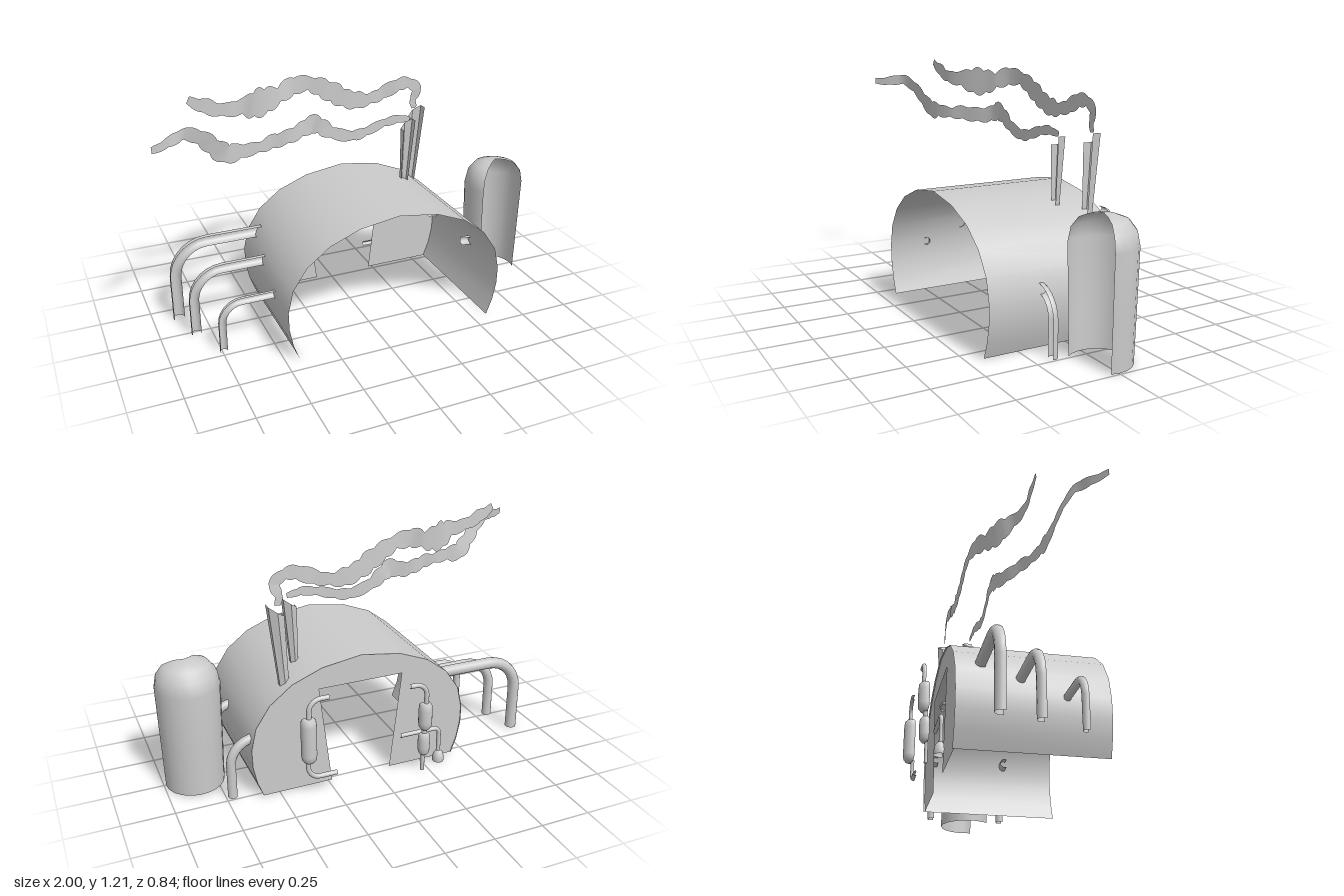
import * as THREE from 'three';

const V = (x, y, z) => new THREE.Vector3(x, y, z);
const smooth = new THREE.MeshStandardMaterial({ color: 0xcccccc, side: THREE.DoubleSide });
const faceted = new THREE.MeshStandardMaterial({ color: 0xcccccc, side: THREE.DoubleSide, flatShading: true });

// Open skin stretched over equal-length rows of points
function skin(rows) {
  const n = rows[0].length, index = [];
  for (let i = 0; i < rows.length - 1; i++) {
    for (let j = 0; j < n - 1; j++) {
      const a = i * n + j, b = a + n;
      index.push(a, b, a + 1, a + 1, b, b + 1);
    }
  }
  const g = new THREE.BufferGeometry().setFromPoints(rows.flat());
  g.setIndex(index);
  g.computeVertexNormals();
  return g;
}

// Polyline in the xy plane with its corners rounded to radius bend
function rounded(pts, bend) {
  const p = pts.map(([x, y]) => V(x, y, 0));
  const out = [p[0]];
  for (let i = 1; i < p.length - 1; i++) {
    const a = p[i].clone().add(p[i - 1].clone().sub(p[i]).setLength(bend));
    const b = p[i].clone().add(p[i + 1].clone().sub(p[i]).setLength(bend));
    const c1 = a.clone().lerp(p[i], 0.55), c2 = b.clone().lerp(p[i], 0.55);
    out.push(...new THREE.CubicBezierCurve3(a, c1, c2, b).getPoints(7));
  }
  out.push(p[p.length - 1]);
  return out;
}

// Direction of a path at point i, in the xy plane
function tangent(p, i) {
  const a = p[Math.max(i - 1, 0)], b = p[Math.min(i + 1, p.length - 1)];
  return V(b.x - a.x, b.y - a.y, 0).normalize();
}

// Bent pipe whose wall is open towards +z
function pipe(pts, z, r, bend) {
  const path = rounded(pts, bend);
  return skin(path.map((p, i) => {
    const t = tangent(path, i), row = [];
    for (let k = 0; k <= 9; k++) {
      const a = THREE.MathUtils.degToRad(-28 + 236 * k / 9);
      const c = Math.cos(a) * r;
      row.push(V(p.x - t.y * c, p.y + t.x * c, z - Math.sin(a) * r));
    }
    return row;
  }));
}

// Turned shell open towards +z, between two angles in degrees
function turned(profile, from = 62, sweep = 236, segs = 12) {
  return new THREE.LatheGeometry(profile.map(([r, y]) => new THREE.Vector2(r, y)), segs,
    THREE.MathUtils.degToRad(from), THREE.MathUtils.degToRad(sweep));
}

// Tapered six-sided chimney with slanted ends, open towards +z
function chimney(bottom, top, z, r0, r1) {
  const ring = ([x, y], r, slope) => {
    const row = [];
    for (let k = 0; k <= 4; k++) {
      const a = Math.PI / 3 * (k + 1);
      const dx = Math.sin(a) * r;
      row.push(V(x + dx, y + slope * dx, z + Math.cos(a) * r));
    }
    return row;
  };
  return skin([ring(bottom, r0, -0.6), ring(top, r1, 0.7)]);
}

// Thin upright ribbon of smoke with scalloped edges; rows are x, y, z, half height
function smoke(rows) {
  const curve = new THREE.CatmullRomCurve3(rows.map(r => V(r[0], r[1], r[2])), false, 'centripetal');
  const steps = (rows.length - 1) * 8;
  const p = [];
  for (let i = 0; i <= steps; i++) p.push(curve.getPoint(i / steps));
  return skin(p.map((c, i) => {
    const f = i / 8, k = Math.min(Math.floor(f), rows.length - 2);
    const half = THREE.MathUtils.lerp(rows[k][3], rows[k + 1][3], f - k);
    const t = tangent(p, i);
    const up = half * (0.82 + 0.3 * Math.abs(Math.sin(f * Math.PI)));
    const down = half * (0.82 + 0.3 * Math.abs(Math.sin(f * Math.PI * 0.9 + 1)));
    return [V(c.x - t.y * up, c.y + t.x * up, c.z), V(c.x + t.y * down, c.y - t.x * down, c.z)];
  }));
}

export function createModel() {
  const model = new THREE.Group();
  const add = (name, geometry, material = smooth) => {
    const mesh = new THREE.Mesh(geometry, material);
    mesh.name = name;
    model.add(mesh);
    return mesh;
  };

  // Vaulted hall, open at the front
  const cx = 0.075;
  const half = [[0.505, 0], [0.535, 0.08], [0.553, 0.17], [0.555, 0.26], [0.53, 0.37],
    [0.46, 0.475], [0.35, 0.56], [0.2, 0.62]];
  const arch = [...half.map(([x, y]) => [cx + x, y]), [cx, 0.65],
    ...half.slice().reverse().map(([x, y]) => [cx - x, y])];
  add('vault', skin([0.42, -0.28].map(z => arch.map(([x, y]) => V(x, y, z)))));

  // Rear wall with a tapered doorway
  const wall = new THREE.Shape([...arch, [-0.08, 0], [-0.14, 0.51], [0.29, 0.51], [0.23, 0]]
    .map(([x, y]) => new THREE.Vector2(x, y)));
  add('rearWall', new THREE.ShapeGeometry(wall)).position.z = -0.273;

  // Domed tank
  add('tank', turned([[0.143, 0], [0.149, 0.25], [0.155, 0.52], [0.142, 0.585], [0.108, 0.63],
    [0.055, 0.65], [0, 0.655]], 73, 236, 14)).position.set(0.847, 0, -0.005);

  // Bent pipes at the sides: wall x, height, outer x, z, radius, bend
  [
    [-0.42, 0.408, -0.872, -0.158, 0.029, 0.17],
    [-0.46, 0.335, -0.825, 0.015, 0.025, 0.15],
    [-0.465, 0.255, -0.742, 0.218, 0.019, 0.1],
    [0.575, 0.295, 0.718, 0.155, 0.023, 0.125],
    [0.575, 0.295, 0.718, -0.22, 0.023, 0.125],
  ].forEach(([x0, y, x1, z, r, bend]) =>
    add('sidePipe', pipe([[x0, y], [x1, y], [x1, 0]], z, r, bend)));

  // Chimneys
  add('frontChimney', chimney([0.345, 0.59], [0.362, 0.89], -0.087, 0.021, 0.037), faceted);
  add('rearChimney', chimney([0.438, 0.537], [0.468, 0.908], -0.203, 0.025, 0.043), faceted);

  // Smoke trails
  add('frontSmoke', smoke([
    [0.37, 0.92, -0.085, 0.012], [0.3, 0.93, -0.08, 0.022], [0.22, 0.92, -0.08, 0.022],
    [0.12, 0.89, -0.075, 0.025], [0.05, 0.88, -0.073, 0.028], [-0.06, 0.91, -0.072, 0.03],
    [-0.12, 0.95, -0.07, 0.04], [-0.17, 0.975, -0.06, 0.045], [-0.23, 0.955, -0.05, 0.038],
    [-0.31, 0.945, -0.015, 0.036], [-0.4, 0.95, 0.03, 0.036], [-0.48, 0.945, 0.065, 0.026],
    [-0.57, 0.95, 0.09, 0.036], [-0.64, 0.952, 0.1, 0.048], [-0.7, 1.0, 0.12, 0.04],
    [-0.76, 1.06, 0.145, 0.034], [-0.84, 1.1, 0.18, 0.027], [-0.92, 1.09, 0.23, 0.023],
    [-1.0, 1.085, 0.285, 0.015]]));
  add('rearSmoke', smoke([
    [0.455, 0.93, -0.21, 0.014], [0.45, 0.98, -0.21, 0.02], [0.47, 1.03, -0.205, 0.025],
    [0.42, 1.07, -0.205, 0.028], [0.36, 1.07, -0.2, 0.035], [0.27, 1.035, -0.205, 0.035],
    [0.2, 1.015, -0.2, 0.028], [0.13, 1.015, -0.2, 0.045], [0.06, 1.035, -0.195, 0.045],
    [0, 1.07, -0.19, 0.05], [-0.07, 1.11, -0.185, 0.045], [-0.14, 1.14, -0.175, 0.035],
    [-0.23, 1.145, -0.155, 0.048], [-0.31, 1.12, -0.125, 0.04], [-0.38, 1.11, -0.1, 0.065],
    [-0.45, 1.11, -0.065, 0.07], [-0.52, 1.12, -0.025, 0.04], [-0.62, 1.125, 0.005, 0.03],
    [-0.7, 1.155, 0.012, 0.035], [-0.78, 1.195, 0.02, 0.018]]));

  // Canisters on the rear pipework: x, z, bottom, top, radius
  [
    [0.385, -0.38, 0.2, 0.43, 0.038],
    [-0.22, -0.378, 0.24, 0.385, 0.034],
    [-0.22, -0.372, 0.095, 0.215, 0.03],
  ].forEach(([x, z, y0, y1, r]) => add('canister', turned([[0, y0], [r * 0.6, y0], [r * 0.92, y0 + 0.015],
    [r, y0 + 0.04], [r, y1 - 0.04], [r * 0.92, y1 - 0.012], [r * 0.6, y1], [0, y1]])).position.set(x, 0, z));

  // Rear pipework
  add('upperElbow', pipe([[0.285, 0.522], [0.385, 0.522], [0.385, 0.42]], -0.385, 0.012, 0.06));
  add('lowerElbow', pipe([[0.385, 0.21], [0.385, 0.1], [0.24, 0.1]], -0.365, 0.012, 0.06));
  add('upperElbow', pipe([[-0.13, 0.49], [-0.22, 0.49], [-0.22, 0.37]], -0.385, 0.012, 0.06));
  add('canisterLink', pipe([[-0.22, 0.25], [-0.22, 0.2]], -0.372, 0.014, 0));
  add('drainPipe', pipe([[-0.22, 0.11], [-0.22, 0]], -0.365, 0.01, 0));
  add('valvePipe', pipe([[-0.12, 0.188], [-0.335, 0.188], [-0.335, 0.05]], -0.315, 0.011, 0.03));
  add('valveBulb', turned([[0.028, 0], [0.03, 0.02], [0.024, 0.045], [0.012, 0.058], [0, 0.06]]))
    .position.set(-0.335, 0, -0.318);

  return model;
}
